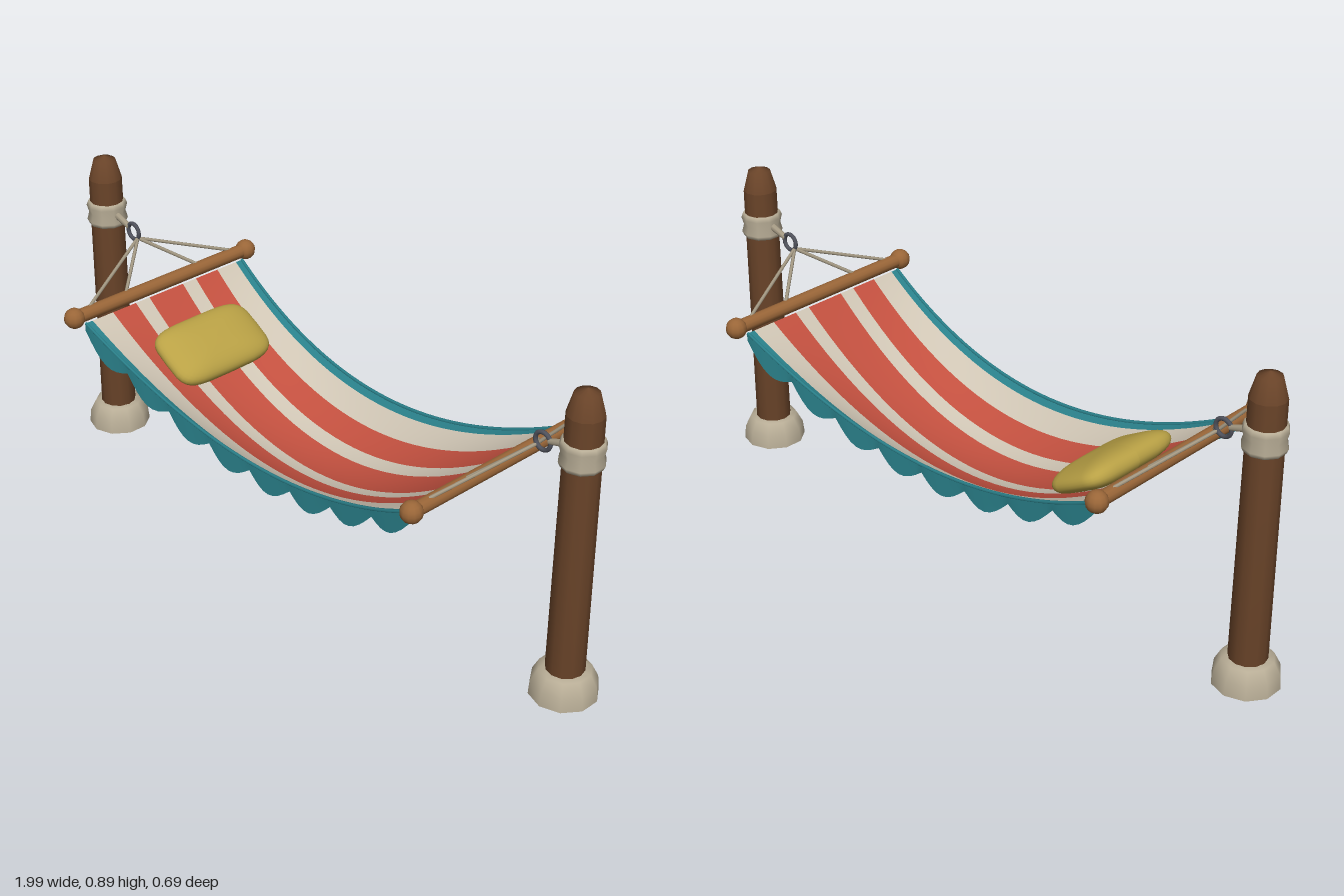
import * as THREE from 'three';
import { ParametricGeometry } from 'three/addons/geometries/ParametricGeometry.js';

const mat = (color) => new THREE.MeshStandardMaterial({ color, side: THREE.DoubleSide });
const M = {
  post: mat(0x6a4429), bar: mat(0x9a6638), stone: mat(0xb8ad96), rope: mat(0xa59a84),
  metal: mat(0x50525c), red: mat(0xc2503f), cream: mat(0xcfc5b4), teal: mat(0x2a808a), cushion: mat(0xb9a145),
};

const V = (x, y, z) => new THREE.Vector3(x, y, z);

function add(parent, name, geometry, material) {
  const mesh = new THREE.Mesh(geometry, material);
  mesh.name = name;
  parent.add(mesh);
  return mesh;
}

// Lathe with hard edges between profile segments
function turned(points, sides) {
  const profile = points.map(([r, y]) => new THREE.Vector2(r, y));
  return new THREE.LatheGeometry(profile, sides);
}

// Straight round rod between two points
function rod(parent, name, a, b, r0, r1, sides, material) {
  const mesh = add(parent, name, new THREE.CylinderGeometry(r1, r0, a.distanceTo(b), sides), material);
  mesh.position.copy(a).add(b).multiplyScalar(0.5);
  mesh.quaternion.setFromUnitVectors(V(0, 1, 0), b.clone().sub(a).normalize());
  return mesh;
}

const HALF = 0.645;

// Sagging cloth: u and v run from -1 to 1 along x and z
function cloth(u, v, target) {
  const sag = 1 - u * u;
  return target.set(u * HALF, 0.55 - sag * (0.18 + 0.1 * (1 - v * v)), v * (0.29 - 0.04 * sag));
}

function stripe(v0, v1) {
  return new ParametricGeometry((s, t, p) => cloth(s * 2 - 1, v0 + (v1 - v0) * t, p), 32, 4);
}

// Scalloped trim hanging from one long edge
function valance(side) {
  const scallops = 8;
  return new ParametricGeometry((s, t, p) => {
    cloth(s * 2 - 1, side, p);
    const wave = Math.abs(Math.sin(s * scallops * Math.PI));
    p.y -= t * (0.022 + 0.038 * wave);
    p.z += side * (0.003 + 0.006 * t * wave);
  }, scallops * 8, 3);
}

// Cushion: a sphere squared off in plan and puffed in the middle
function cushionGeometry() {
  const g = new THREE.SphereGeometry(1, 32, 20);
  const pos = g.attributes.position;
  const sq = (c, e) => Math.sign(c) * Math.pow(Math.abs(c), e);
  for (let i = 0; i < pos.count; i++) {
    const x = pos.getX(i), y = pos.getY(i), z = pos.getZ(i);
    const r = Math.hypot(x, z) || 1;
    const ring = Math.pow(Math.min(r, 1), 0.75);
    pos.setXYZ(i, 0.1 * ring * sq(x / r, 0.45), 0.042 * sq(y, 0.9), 0.168 * ring * sq(z / r, 0.45));
  }
  g.computeVertexNormals();
  return g;
}

// Post, spreader bar and rigging of one end; side is +1 or -1 along x
function buildEnd(side) {
  const end = new THREE.Group();
  end.name = side > 0 ? 'leftEnd' : 'rightEnd';

  const post = new THREE.Group();
  post.name = 'post';
  post.position.x = side * 0.907;
  end.add(post);
  add(post, 'postShaft', turned([[0, 0.03], [0.052, 0.03], [0.048, 0.82]], 12), M.post);
  add(post, 'postTip', turned([[0.048, 0.82], [0.032, 0.878], [0, 0.89]], 12), M.post);
  add(post, 'postFooting', turned([[0.092, 0], [0.088, 0.04], [0.07, 0.075], [0.048, 0.077]], 10), M.stone);
  add(post, 'ropeWrap', turned(
    [[0.046, 0.68], [0.054, 0.68], [0.059, 0.692], [0.053, 0.715], [0.059, 0.737], [0.054, 0.75], [0.046, 0.75]], 10), M.stone);

  // Tie rope and metal ring
  rod(end, 'tieRope', V(side * 0.865, 0.718, 0), V(side * 0.805, 0.698, 0), 0.011, 0.008, 8, M.rope);
  const ring = add(end, 'ring', new THREE.TorusGeometry(0.024, 0.006, 8, 20), M.metal);
  ring.position.set(side * 0.785, 0.69, 0);

  // Spreader bar with round knobs
  const bx = side * 0.66, by = 0.57;
  rod(end, 'spreaderBar', V(bx, by, -0.31), V(bx, by, 0.31), 0.02, 0.02, 12, M.bar);
  for (const s of [-1, 1]) {
    add(end, 'barKnob', new THREE.SphereGeometry(0.03, 12, 8), M.bar).position.set(bx, by, s * 0.317);
  }

  // Fan of ropes from ring to bar
  for (const z of [-0.27, -0.135, 0.135, 0.27]) {
    rod(end, 'fanRope', V(side * 0.767, 0.675, 0), V(bx, by + 0.012, z), 0.005, 0.005, 6, M.rope);
  }
  return end;
}

export function createModel() {
  const model = new THREE.Group();
  model.name = 'hammock';
  model.add(buildEnd(-1), buildEnd(1));

  // Striped bed
  const bed = new THREE.Group();
  bed.name = 'bed';
  model.add(bed);
  add(bed, 'redStripe', stripe(-0.215, 0.215), M.red);
  const bands = [[0.215, 0.385, 'cream'], [0.385, 0.67, 'red'], [0.67, 0.92, 'cream'], [0.92, 1, 'teal']];
  for (const side of [-1, 1]) {
    for (const [a, b, color] of bands) {
      add(bed, color + 'Stripe', side > 0 ? stripe(b, a) : stripe(-a, -b), M[color]);
    }
    add(bed, 'valance', valance(side), M.teal);
    // Rolled hem along the edge
    const hem = [];
    for (let i = 0; i <= 16; i++) hem.push(cloth(i / 8 - 1, side, V(0, 0, 0)));
    add(bed, 'hem', new THREE.TubeGeometry(new THREE.CatmullRomCurve3(hem), 40, 0.005, 6), M.teal);
  }

  // Cushion resting on the slope
  const cushion = add(model, 'cushion', cushionGeometry(), M.cushion);
  cushion.position.set(-0.443, 0.455, 0);
  cushion.rotation.z = -0.52;
  return model;
}
